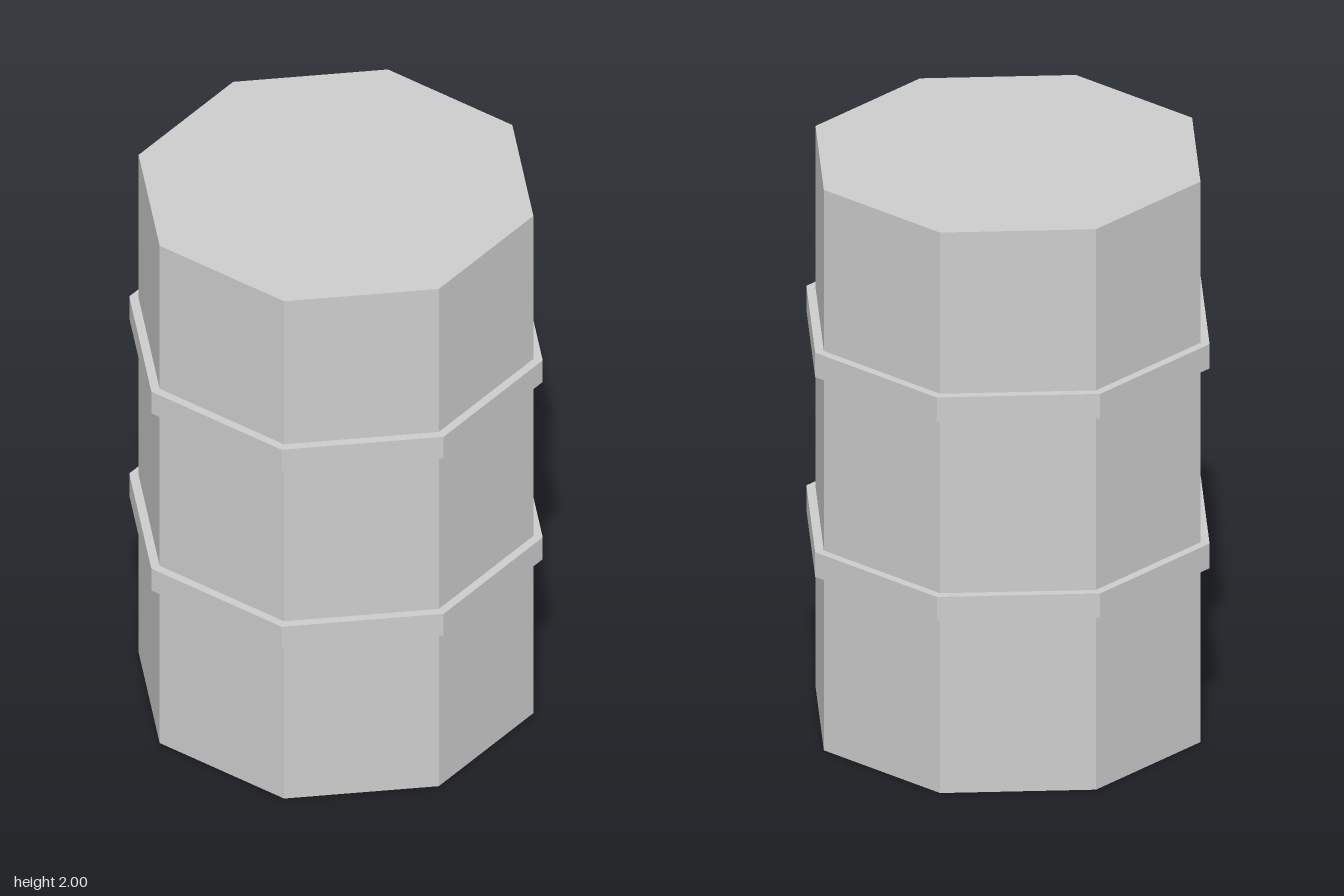
import * as THREE from 'three';

const SIDES = 8;

// Upright octagonal prism with flat sides facing the axes, sized by its half-width across flats
function octagon(name, halfWidth, bottom, top, material) {
  const radius = halfWidth / Math.cos(Math.PI / SIDES);
  const geometry = new THREE.CylinderGeometry(radius, radius, top - bottom, SIDES);
  geometry.rotateY(Math.PI / SIDES);
  geometry.translate(0, (bottom + top) / 2, 0);
  const mesh = new THREE.Mesh(geometry, material);
  mesh.name = name;
  return mesh;
}

export function createModel() {
  const group = new THREE.Group();
  group.name = 'barrel';

  const metal = new THREE.MeshStandardMaterial({ color: 0xcccccc, flatShading: true });
  metal.name = 'light grey metal';

  // Drum body
  group.add(octagon('body', 0.614, 0, 2, metal));

  // Raised hoops around the body
  group.add(octagon('lowerHoop', 0.643, 0.625, 0.713, metal));
  group.add(octagon('upperHoop', 0.643, 1.338, 1.425, metal));

  return group;
}
